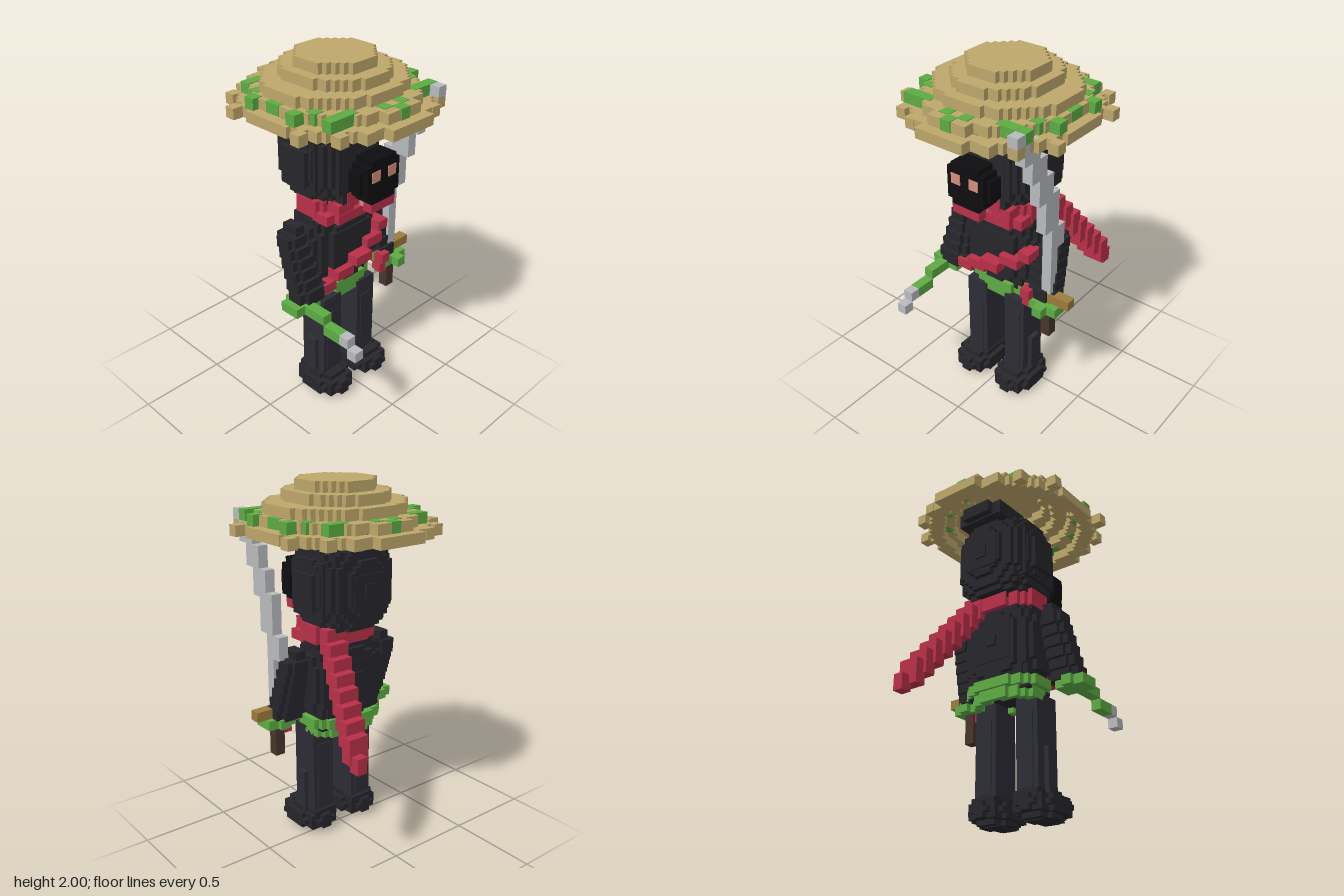
import * as THREE from 'three';
import { mergeGeometries } from 'three/addons/utils/BufferGeometryUtils.js';

const V = 0.058; // edge of one block
const C = {
  straw: 0xbda76a, green: 0x5cab43, red: 0xb93049, cloth: 0x26262b, legs: 0x2d2c36,
  mask: 0x0e0e10, skin: 0xd58c7a, steel: 0xb8babd, gold: 0x9c7b3c, wood: 0x47352b,
};

// Box geometry from its limits
function block(x0, x1, y0, y1, z0, z1) {
  const g = new THREE.BoxGeometry(x1 - x0, y1 - y0, z1 - z0);
  return g.translate((x0 + x1) / 2, (y0 + y1) / 2, (z0 + z1) / 2);
}
const cube = (x, y, z, s = V) => block(x - s / 2, x + s / 2, y - s / 2, y + s / 2, z - s / 2, z + s / 2);

// Fills a region with small blocks, joined into runs along x
function fill(center, half, inside) {
  const n = half.map((h) => Math.max(1, Math.round((4 * h) / V)));
  const s = half.map((h, a) => (2 * h) / n[a]);
  const at = (i, a) => (i + 0.5) * s[a] - half[a];
  const low = center.map((c, a) => c - half[a]);
  const out = [];
  for (let j = 0; j < n[1]; j++) {
    for (let k = 0; k < n[2]; k++) {
      let start = -1;
      for (let i = 0; i <= n[0]; i++) {
        const on = i < n[0] && inside(at(i, 0), at(j, 1), at(k, 2));
        if (on && start < 0) start = i;
        if (!on && start >= 0) {
          const y = low[1] + j * s[1], z = low[2] + k * s[2];
          out.push(block(low[0] + start * s[0], low[0] + i * s[0], y, y + s[1], z, z + s[2]));
          start = -1;
        }
      }
    }
  }
  return out;
}

// Rounded blocky solid; a higher power is squarer
function blob(center, half, power) {
  const p = (v, h) => Math.pow(Math.abs(v) / h, power);
  return fill(center, half, (x, y, z) => p(x, half[0]) + p(y, half[1]) + p(z, half[2]) < 1);
}

// Flat elliptical ring of blocks, solid when the hole is zero
function ring(cz, y0, y1, rx, rz, hx, hz) {
  return fill([0, (y0 + y1) / 2, cz], [rx, (y1 - y0) / 2, rz], (x, y, z) => {
    const outer = (x / rx) ** 2 + (z / rz) ** 2 < 1.03;
    const inner = hx > 0 && (x / hx) ** 2 + (z / hz) ** 2 < 1;
    return outer && !inner;
  });
}

export function createModel() {
  const model = new THREE.Group();
  const mats = {};
  function add(name, color, geos) {
    mats[color] ??= new THREE.MeshStandardMaterial({ color: C[color], flatShading: true });
    const mesh = new THREE.Mesh(mergeGeometries(geos), mats[color]);
    mesh.name = name;
    model.add(mesh);
  }

  // Straw hat: stepped, hollow layers [y0, y1, rx, rz, hole x, hole z]
  const hz = 0.027;
  const layers = [
    [1.717, 1.774, 0.464, 0.49, 0.395, 0.42],
    [1.774, 1.83, 0.405, 0.43, 0.355, 0.335],
    [1.83, 1.887, 0.375, 0.35, 0.25, 0.26],
    [1.887, 1.944, 0.26, 0.285, 0.19, 0.19],
    [1.944, 2, 0.203, 0.203, 0, 0],
  ];
  const hat = layers.flatMap((l) => ring(hz, ...l));
  const stubs = [[0.464, 0.23], [0.348, 0.378], [0.232, 0.436]]; // loose ends of the brim
  const leaves = [[0.41, 0.145], [0.335, 0.2], [0.29, 0.32], [0.232, 0.32], [0.058, 0.383], [0, 0.436]];
  const green = [];
  for (const sx of [-1, 1]) {
    for (const sz of [-1, 1]) {
      for (const [x, z] of stubs) hat.push(cube(sx * x, 1.745, hz + sz * z));
      for (const [x, z] of leaves) green.push(cube(sx * x, 1.803, hz + sz * z, 0.06));
    }
    green.push(block(sx * 0.39 - 0.018, sx * 0.39 + 0.018, 1.776, 1.832, -0.03, 0.06));
    green.push(cube(sx * 0.348, 1.803, 0.347, 0.059));
  }
  for (const sz of [-1, 1]) {
    const z = hz + sz * 0.49;
    hat.push(block(-0.145, 0.145, 1.717, 1.774, z - 0.029, z + 0.029));
    const z2 = hz + sz * 0.41;
    hat.push(block(-0.116, 0.116, 1.774, 1.829, z2 - 0.053, z2 + 0.05));
  }
  add('strawHat', 'straw', hat);
  add('hatLeaves', 'green', green);

  // Hooded head with raised ear pads, flat front and a tuft at the back
  const head = blob([0, 1.465, -0.02], [0.235, 0.265, 0.225], 2.8);
  for (const s of [-1, 1]) {
    head.push(block(s * 0.22 - 0.04, s * 0.22 + 0.04, 1.355, 1.54, -0.1, 0.07));
    head.push(block(s * 0.2 - 0.025, s * 0.2 + 0.025, 1.3, 1.6, -0.145, 0.11));
  }
  head.push(block(-0.1, 0.1, 1.36, 1.54, -0.252, -0.2), block(-0.035, 0.035, 1.42, 1.49, -0.262, -0.2));
  head.push(block(-0.145, 0.145, 1.3, 1.62, 0.08, 0.2), block(-0.115, 0.115, 1.24, 1.72, 0.05, 0.2));
  head.push(block(-0.145, 0.145, 1.66, 1.74, -0.27, -0.05), block(-0.09, 0.09, 1.67, 1.74, -0.31, -0.2));
  add('hood', 'cloth', head);

  // Face mask standing off the hood, with eyes
  add('faceMask', 'mask', [
    block(-0.087, 0.087, 1.3, 1.54, 0.26, 0.372),
    block(-0.116, 0.116, 1.33, 1.51, 0.26, 0.37),
    block(-0.14, 0.14, 1.36, 1.48, 0.26, 0.34),
  ]);
  add('eyes', 'skin', [-1, 1].map((s) => cube(s * 0.058, 1.45, 0.347)));
  add('chin', 'skin', [block(-0.058, 0.058, 1.25, 1.302, 0.262, 0.318)]);
  add('chinScarf', 'red', [block(-0.087, 0.087, 1.25, 1.302, 0.316, 0.372)]);

  // Scarf collar, lower at the front
  add('scarf', 'red', [
    ...ring(0.015, 1.15, 1.25, 0.203, 0.16, 0, 0),
    block(-0.2, 0.2, 1.135, 1.19, 0.06, 0.17),
    block(-0.145, 0.145, 1.135, 1.19, 0.06, 0.203),
    block(-0.145, -0.03, 1.19, 1.245, 0.14, 0.2),
    block(0.03, 0.145, 1.19, 1.245, 0.14, 0.2),
    block(-0.085, 0.085, 1.23, 1.3, 0.1, 0.205),
  ]);

  // Scarf tail stepping down and back
  const tail = [];
  for (let i = 0; i <= 8; i++) {
    const t = i / 8, w = i < 8 ? 0.06 : 0.03;
    const x = 0.14 + 0.15 * t, y = 1.18 - 0.52 * t, z = -0.12 - 0.395 * t;
    const h = i < 8 ? 0.07 : 0.045;
    tail.push(block(x - w, x + w, y - h, y + h, z - 0.032, z + 0.032));
  }
  add('scarfTail', 'red', tail);

  // Torso with chest and back pads
  add('torso', 'cloth', [
    ...blob([0, 0.925, 0.005], [0.228, 0.28, 0.15], 3),
    block(-0.145, 0.145, 0.8, 1.06, 0.1, 0.165),
    block(-0.12, 0.12, 0.83, 1.05, -0.15, -0.1),
    block(-0.03, 0.03, 0.92, 0.98, -0.163, -0.14),
    block(-0.2, 0.2, 0.66, 0.8, -0.1, 0.1),
  ]);

  // Diagonal chest sash in five overlapping steps
  const sash = [];
  for (let i = 0; i < 5; i++) {
    const x = -0.203 + i * 0.113, y = 0.76 + i * V * 0.97;
    const z = i === 2 ? 0.2 : 0.17 - (i % 4 === 0 ? 0.02 : 0);
    sash.push(block(x - 0.06, Math.min(x + 0.06, 0.26), y - 0.028, y + 0.028, z - 0.07, z + 0.035));
  }
  sash.push(cube(0.245, 0.76, 0.17), cube(0.245, 0.7, 0.15), cube(0.29, 0.645, 0.12, 0.05));
  add('sash', 'red', sash);

  // Belt
  add('belt', 'green', [
    ...ring(-0.005, 0.675, 0.73, 0.232, 0.155, 0.17, 0.1),
    ...ring(-0.005, 0.615, 0.675, 0.203, 0.14, 0.16, 0.1),
  ]);

  // Arms leaning forward and widening to the hand, with wristbands
  for (const s of [-1, 1]) {
    const side = s < 0 ? 'right' : 'left';
    const arm = [];
    for (let i = 0; i < 6; i++) {
      const t = i / 5, x = s * (0.305 - 0.005 * t), y = 1.04 - 0.28 * t;
      const z = 0.01 + (s < 0 ? 0.11 : 0.08) * t, w = 0.065 + 0.03 * t;
      arm.push(block(x - w, x + w, y - 0.032, y + 0.032, z - 0.045, z + 0.045));
      arm.push(block(x - w * 0.6, x + w * 0.6, y - 0.04, y + 0.04, z - 0.07, z + 0.07));
    }
    arm.push(block(s * 0.29 - 0.029, s * 0.29 + 0.029, 1.05, 1.13, -0.04, 0.06));
    add(side + 'Arm', 'cloth', arm);
    add(side + 'Wristband', 'green', [
      block(s * 0.348 - 0.087, s * 0.348 + 0.087, 0.675, 0.73, 0.06, 0.18),
      block(s * 0.348 - 0.029, s * 0.348 + 0.029, 0.675, 0.73, 0.03, 0.23),
    ]);
  }

  // Throwing knife in the right hand
  add('knifeHandle', 'green', [
    block(-0.377, -0.319, 0.675, 0.73, 0.15, 0.32),
    block(-0.377, -0.319, 0.617, 0.675, 0.32, 0.435),
  ]);
  add('knifeBlade', 'steel', [
    block(-0.377, -0.319, 0.617, 0.675, 0.435, 0.493),
    block(-0.377, -0.319, 0.56, 0.617, 0.49, 0.55),
  ]);

  // Curved sword in the left hand: blade steps [z0, z1, y0, y1]
  const blade = [
    [0.38, 0.435, 1.774, 1.83], [0.32, 0.38, 1.66, 1.83], [0.26, 0.32, 1.54, 1.774],
    [0.203, 0.26, 1.39, 1.66], [0.145, 0.203, 1.2, 1.54], [0.09, 0.145, 0.79, 1.42],
    [0.035, 0.09, 1.07, 1.2],
  ];
  add('swordBlade', 'steel', blade.map(([z0, z1, y0, y1]) => block(0.319, 0.377, y0, y1, z0, z1)));
  add('swordGuard', 'gold', [block(0.203, 0.493, 0.733, 0.788, 0.087, 0.145)]);
  add('swordHandle', 'wood', [block(0.319, 0.377, 0.5, 0.74, 0.087, 0.145)]);

  // Legs and rounded boots
  for (const s of [-1, 1]) {
    const side = s < 0 ? 'right' : 'left';
    const x = s * 0.135;
    add(side + 'Leg', 'legs', [
      block(x - 0.068, x + 0.068, 0.09, 0.65, -0.025, 0.145),
      block(x + s * 0.05 - 0.045, x + s * 0.05 + 0.045, 0.09, 0.37, 0.03, 0.1),
      block(x - 0.04, x + 0.04, 0.15, 0.55, -0.032, 0.15),
    ]);
    const boot = blob([x + s * 0.01, 0.075, 0.095], [0.116, 0.07, 0.165], 2.3);
    boot.push(block(x - 0.045, x + 0.045, 0, 0.04, 0.03, 0.19));
    boot.push(block(x - 0.075, x + 0.075, 0.06, 0.14, -0.045, 0.16));
    add(side + 'Boot', 'cloth', boot);
  }

  return model;
}
